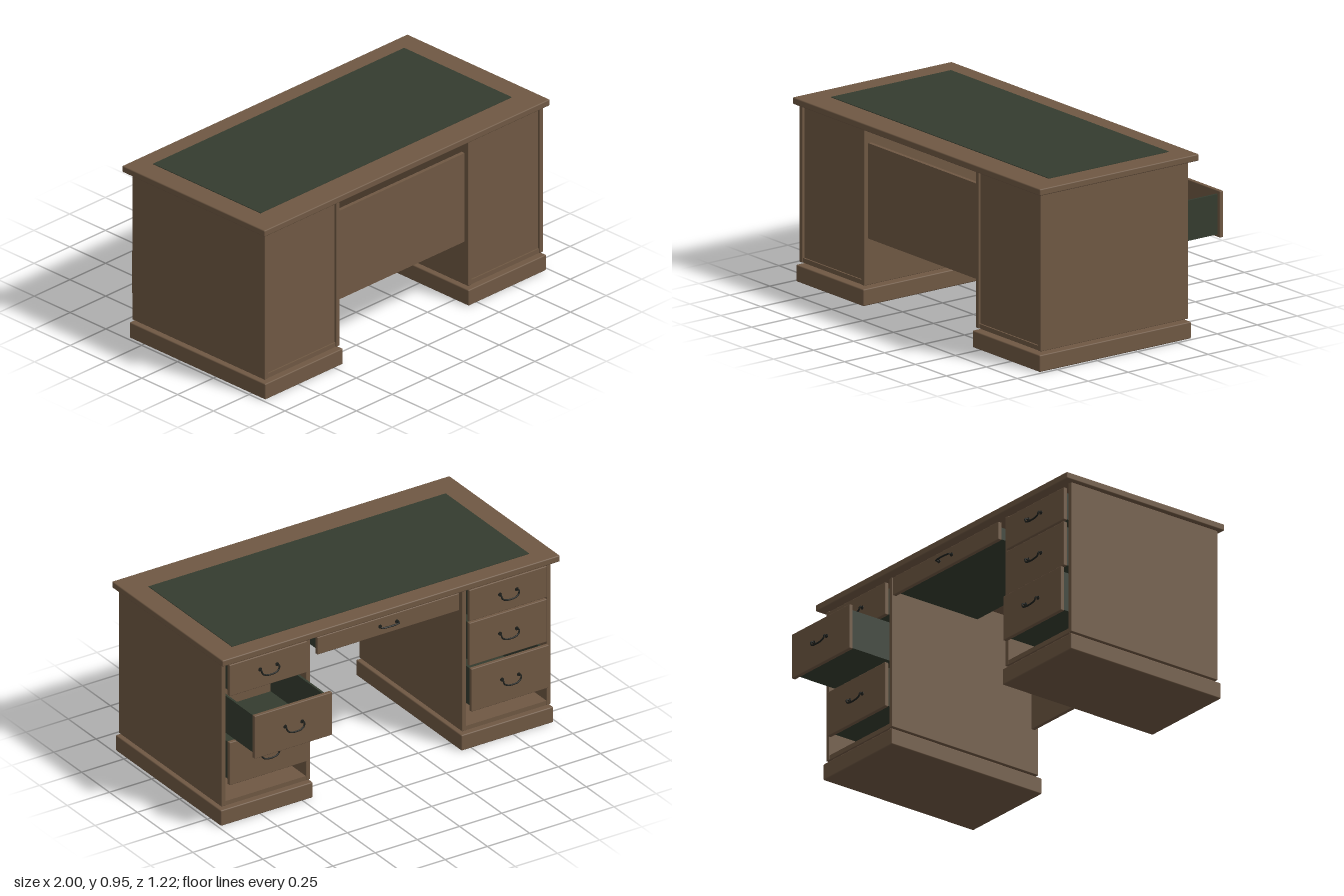
import * as THREE from 'three';
import { RoundedBoxGeometry } from 'three/addons/geometries/RoundedBoxGeometry.js';

const mat = (name, color) => {
  const m = new THREE.MeshStandardMaterial({ color });
  m.name = name;
  return m;
};

export function createModel() {
  const wood = mat('brown wood', 0x6f5843);
  const green = mat('dark green', 0x343c2f);
  const metal = mat('dark metal', 0x1e201c);

  const desk = new THREE.Group();
  desk.name = 'desk';

  // Box between two corners, with softened edges when r > 0
  function box(parent, name, material, x, y, z, r = 0) {
    const size = [x[1] - x[0], y[1] - y[0], z[1] - z[0]];
    const geometry = r ? new RoundedBoxGeometry(...size, 2, r) : new THREE.BoxGeometry(...size);
    const mesh = new THREE.Mesh(geometry, material);
    mesh.name = name;
    mesh.position.set((x[0] + x[1]) / 2, (y[0] + y[1]) / 2, (z[0] + z[1]) / 2);
    parent.add(mesh);
    return mesh;
  }

  // Pull handle: a bent rod that hangs by `drop` between two round mounts
  function handle(parent, x, y, z, drop) {
    const group = new THREE.Group();
    group.name = 'handle';
    const half = [[0.05, 0, 0], [0.053, 0, -0.018], [0.048, -drop * 0.6, -0.021], [0.028, -drop, -0.025]];
    const left = half.map(p => new THREE.Vector3(...p));
    const right = left.map(p => new THREE.Vector3(-p.x, p.y, p.z)).reverse();
    const curve = new THREE.CatmullRomCurve3([...left, ...right]);
    const rod = new THREE.Mesh(new THREE.TubeGeometry(curve, 32, 0.0045, 8), metal);
    rod.name = 'handleRod';
    group.add(rod);
    for (const s of [-1, 1]) {
      const mount = new THREE.Mesh(new THREE.CylinderGeometry(0.01, 0.01, 0.005, 16), metal);
      mount.name = 'handleMount';
      mount.rotation.x = Math.PI / 2;
      mount.position.set(s * 0.05, 0, -0.001);
      group.add(mount);
    }
    group.position.set(x, y, z);
    parent.add(group);
  }

  // Drawer centred on cx: wooden front and back, green sides and floor
  function drawer(name, cx, halfWidth, y0, y1, pull, depth, handleY, drop) {
    const group = new THREE.Group();
    group.name = name;
    const w = halfWidth - 0.017, b0 = y0 + 0.014, b1 = y1 - 0.018;
    box(group, 'drawerFront', wood, [-halfWidth, halfWidth], [y0, y1], [-0.36, -0.338], 0.004);
    for (const s of [-1, 1]) {
      const x = [s * w, s * (w - 0.012)].sort((a, b) => a - b);
      box(group, 'drawerSide', green, x, [b0, b1], [-0.338, -0.338 + depth]);
    }
    const inner = [-w + 0.012, w - 0.012];
    box(group, 'drawerFloor', green, inner, [b0, b0 + 0.01], [-0.338, -0.338 + depth]);
    box(group, 'drawerBack', wood, inner, [b0 + 0.01, b1], [-0.35 + depth, -0.338 + depth]);
    handle(group, 0, handleY, -0.36, drop);
    group.position.set(cx, 0, -pull);
    desk.add(group);
  }

  // Table top with its writing surface
  box(desk, 'tableTop', wood, [-1, 1], [0.915, 0.95], [-0.387, 0.608], 0.006);
  box(desk, 'writingSurface', green, [-0.88, 0.88], [0.947, 0.953], [-0.29, 0.46]);

  // Pedestals with plinths
  for (const s of [-1, 1]) {
    const pedestal = new THREE.Group();
    pedestal.name = s > 0 ? 'leftPedestal' : 'rightPedestal';
    const span = (a, b) => (s > 0 ? [a, b] : [-b, -a]);
    box(pedestal, 'plinth', wood, span(0.44, 0.985), [0, 0.087], [-0.35, 0.598], 0.006);
    box(pedestal, 'innerSide', wood, span(0.45, 0.474), [0.102, 0.915], [-0.34, 0.585], 0.003);
    box(pedestal, 'outerSide', wood, span(0.951, 0.975), [0.102, 0.915], [-0.34, 0.585], 0.003);
    box(pedestal, 'bottomBoard', wood, span(0.474, 0.951), [0.102, 0.126], [-0.338, 0.58]);
    box(pedestal, 'facePanel', wood, span(0.474, 0.951), [0.126, 0.915], [0.55, 0.572]);
    desk.add(pedestal);
  }

  // Panel across the knee space
  box(desk, 'kneePanel', wood, [-0.451, 0.451], [0.342, 0.835], [0.54, 0.56]);

  // Three drawers in each pedestal, some pulled out
  const rows = [
    ['topDrawer', 0.72, 0.895, 0.82],
    ['middleDrawer', 0.47, 0.71, 0.6],
    ['bottomDrawer', 0.22, 0.46, 0.35],
  ];
  const pulls = { 1: [0, 0.225, 0], '-1': [0, 0, 0.018] };
  for (const s of [-1, 1]) {
    rows.forEach(([name, y0, y1, handleY], i) => {
      drawer(name, s * 0.71, 0.23, y0, y1, pulls[s][i], 0.5, handleY, 0.028);
    });
  }

  // Shallow drawer over the knee space
  drawer('centreDrawer', 0, 0.42, 0.8, 0.897, 0, 0.5, 0.85, 0.001);

  return desk;
}
